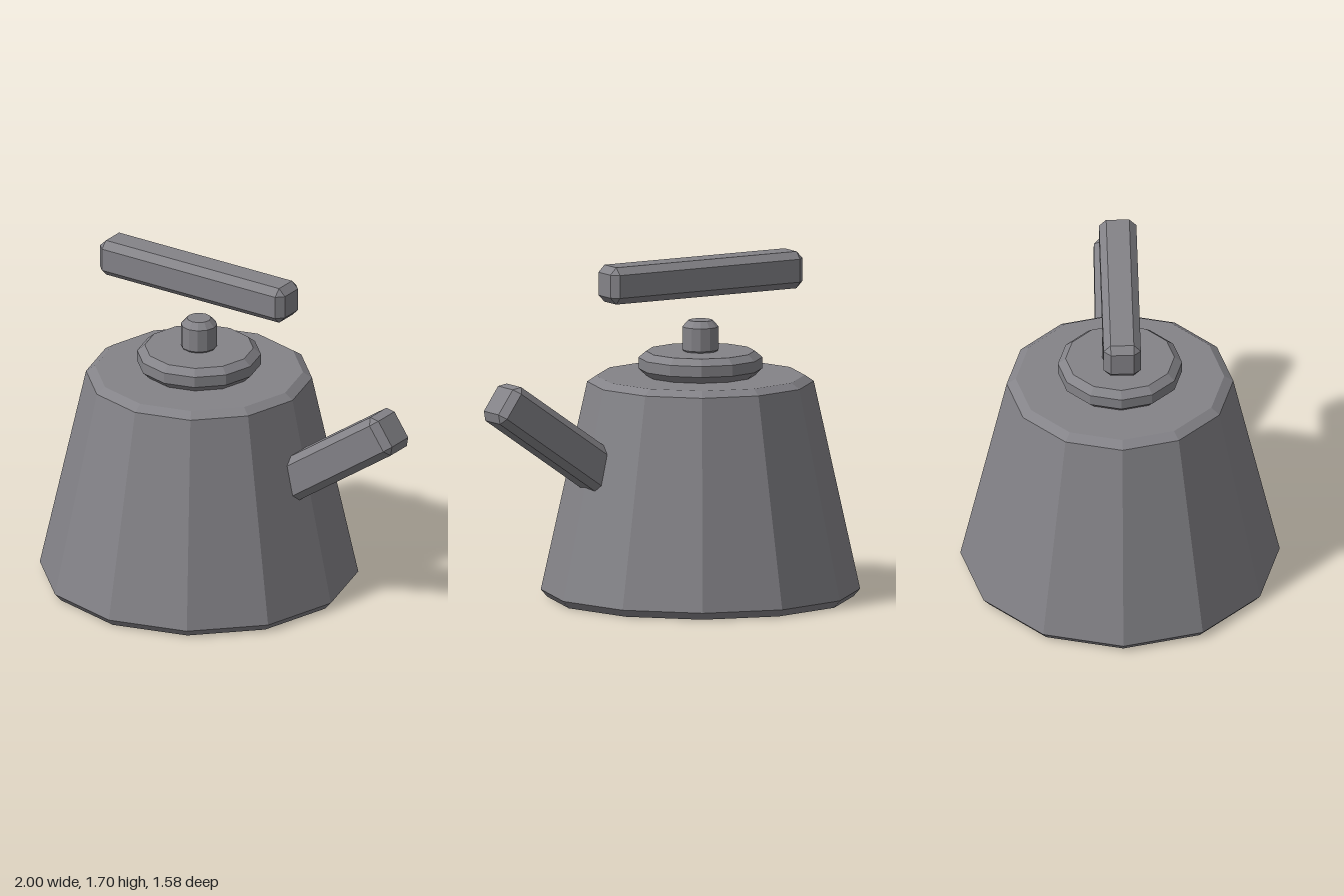
import * as THREE from 'three';
import { ConvexGeometry } from 'three/addons/geometries/ConvexGeometry.js';

const AXIS_X = -0.208; // centre line of body, lid and knob
const material = new THREE.MeshStandardMaterial({ color: 0x848388, flatShading: true });

function addPart(group, name, geometry, x, y) {
  const mesh = new THREE.Mesh(geometry, material);
  mesh.name = name;
  mesh.position.set(x, y, 0);
  group.add(mesh);
  return mesh;
}

// Faceted turned solid with chamfered rims, listed bottom to top as [radius, height]
function turned(profile, sides = 12) {
  return new THREE.LatheGeometry(profile.map(([r, y]) => new THREE.Vector2(r, y)), sides);
}

// Box with every edge and corner cut by one flat chamfer
function chamferedBox(w, h, d, c) {
  const half = [w / 2, h / 2, d / 2];
  const points = [];
  for (const sx of [-1, 1]) for (const sy of [-1, 1]) for (const sz of [-1, 1]) {
    for (let full = 0; full < 3; full++) {
      const [x, y, z] = half.map((v, i) => (i === full ? v : v - c));
      points.push(new THREE.Vector3(sx * x, sy * y, sz * z));
    }
  }
  return new ConvexGeometry(points);
}

export function createModel() {
  const kettle = new THREE.Group();
  kettle.name = 'kettle';

  // Tapered body
  addPart(kettle, 'body', turned([
    [0, 0], [0.76, 0], [0.792, 0.037], [0.562, 1.08], [0.517, 1.11], [0, 1.11],
  ]), AXIS_X, 0);

  // Lid and its knob
  addPart(kettle, 'lid', turned([
    [0, 1.1], [0.26, 1.1], [0.308, 1.145], [0.308, 1.2], [0.27, 1.232], [0, 1.232],
  ]), AXIS_X, 0);
  addPart(kettle, 'knob', turned([
    [0, 1.2], [0.06, 1.2], [0.09, 1.24], [0.09, 1.355], [0.06, 1.387], [0, 1.387],
  ]), AXIS_X, 0);

  // Floating bar handle
  addPart(kettle, 'handle', chamferedBox(1.11, 0.185, 0.185, 0.035), AXIS_X, 1.605);

  // Slanted spout, its inner end buried in the body
  const length = 0.8, angle = 0.605;
  const spout = addPart(kettle, 'spout', chamferedBox(length, 0.215, 0.212, 0.035),
    0.959 - Math.cos(angle) * length / 2, 1.075 - Math.sin(angle) * length / 2);
  spout.rotation.z = angle;

  return kettle;
}
